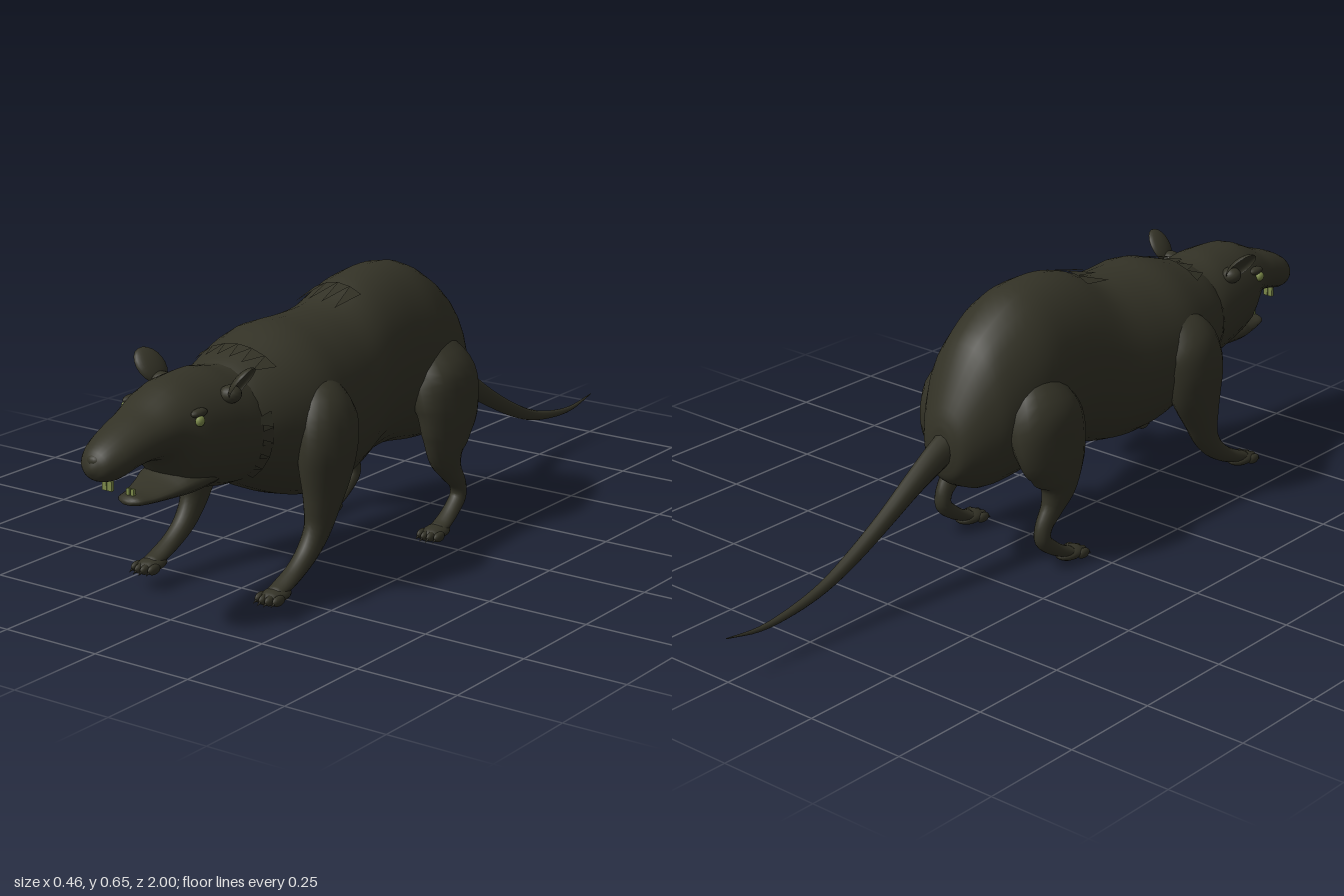
import * as THREE from 'three';

const mat = (name, color, side = THREE.FrontSide) => {
  const m = new THREE.MeshStandardMaterial({ color, side });
  m.name = name;
  return m;
};

// Smooth skin over elliptical rings; each row is [x, y, z, sideRadius, otherRadius].
// With tilt the rings follow the path, otherwise they stay upright.
function loft(rows, tilt = true, sides = 20, steps = 4) {
  const curve = (f) => new THREE.CatmullRomCurve3(rows.map(f), false, 'catmullrom', 0.5);
  const path = curve((r) => new THREE.Vector3(r[0], r[1], r[2]));
  const size = curve((r) => new THREE.Vector3(r[3], r[4], 0));
  const n = (rows.length - 1) * steps;
  const pos = [], idx = [];
  for (let i = 0; i <= n; i++) {
    const c = path.getPoint(i / n), s = size.getPoint(i / n);
    const t = tilt ? path.getTangent(i / n) : new THREE.Vector3(0, 0, 1);
    const u = new THREE.Vector3(1, 0, 0).addScaledVector(t, -t.x).normalize();
    const v = new THREE.Vector3().crossVectors(t, u);
    for (let j = 0; j < sides; j++) {
      const a = (j / sides) * Math.PI * 2;
      const p = c.clone().addScaledVector(u, Math.cos(a) * Math.max(s.x, 0.001))
        .addScaledVector(v, Math.sin(a) * Math.max(s.y, 0.001));
      pos.push(p.x, p.y, p.z);
      if (i < n) {
        const k = (j + 1) % sides, A = i * sides + j, B = i * sides + k;
        idx.push(A, B, A + sides, B, B + sides, A + sides);
      }
    }
  }
  // end caps
  const first = pos.length / 3, p0 = path.getPoint(0), p1 = path.getPoint(1);
  pos.push(p0.x, p0.y, p0.z, p1.x, p1.y, p1.z);
  for (let j = 0; j < sides; j++) {
    const k = (j + 1) % sides;
    idx.push(first, k, j, first + 1, n * sides + j, n * sides + k);
  }
  const g = new THREE.BufferGeometry();
  g.setAttribute('position', new THREE.Float32BufferAttribute(pos, 3));
  g.setIndex(idx);
  g.computeVertexNormals();
  return g;
}

// profile rows [z, top, bottom, halfWidth] to loft rows
const profile = (rows) => rows.map(([z, t, b, w]) => [0, (t + b) / 2, z, w, (t - b) / 2]);

const bodyRows = profile([
  [-0.315, 0.37, 0.28, 0.03], [-0.3, 0.42, 0.24, 0.065], [-0.25, 0.52, 0.21, 0.105], [-0.2, 0.58, 0.197, 0.13],
  [-0.1, 0.64, 0.205, 0.15], [0, 0.655, 0.22, 0.147], [0.1, 0.642, 0.215, 0.15], [0.2, 0.602, 0.185, 0.165],
  [0.3, 0.595, 0.177, 0.18], [0.4, 0.595, 0.2, 0.187], [0.5, 0.565, 0.24, 0.165], [0.57, 0.54, 0.275, 0.135],
  [0.62, 0.51, 0.31, 0.1],
]);

// point just above the body skin at depth z and angle a
function onBody(z, a, lift) {
  let i = 0;
  while (i < bodyRows.length - 2 && bodyRows[i + 1][2] < z) i++;
  const p = bodyRows[i], q = bodyRows[i + 1], f = (z - p[2]) / (q[2] - p[2]);
  const m = (k) => p[k] + (q[k] - p[k]) * f;
  return [Math.cos(a) * (m(3) + lift), m(1) + Math.sin(a) * (m(4) + lift), z];
}

// row of pointed fur tufts lying over the skin
function furTufts(z, tip, from, to, count) {
  const pos = [], d = (to - from) / count;
  for (let i = 0; i < count; i++) {
    const a = from + i * d;
    pos.push(...onBody(z, a, 0.004), ...onBody(z, a + d, 0.004), ...onBody(tip, a + d / 2, 0.01));
  }
  const g = new THREE.BufferGeometry();
  g.setAttribute('position', new THREE.Float32BufferAttribute(pos, 3));
  g.computeVertexNormals();
  return g;
}

export function createModel() {
  const fur = mat('darkFur', 0x333226);
  const furThin = mat('thinFur', 0x333226, THREE.DoubleSide);
  const pale = mat('paleGreen', 0x7c8a4a);
  const model = new THREE.Group();
  const add = (parent, name, geo, m, p = [0, 0, 0], s = [1, 1, 1], r = [0, 0, 0]) => {
    const mesh = new THREE.Mesh(geo, m);
    mesh.name = name;
    mesh.position.set(...p);
    mesh.scale.set(...s);
    mesh.rotation.set(...r);
    parent.add(mesh);
    return mesh;
  };
  const ball = new THREE.SphereGeometry(1, 16, 12);

  // torso, head and lower jaw
  add(model, 'body', loft(bodyRows, false, 28), fur);
  add(model, 'head', loft(profile([
    [0.5, 0.54, 0.27, 0.11], [0.58, 0.54, 0.272, 0.13], [0.64, 0.55, 0.28, 0.125], [0.7, 0.55, 0.295, 0.117],
    [0.745, 0.546, 0.31, 0.11], [0.775, 0.538, 0.345, 0.099], [0.805, 0.525, 0.378, 0.088], [0.85, 0.504, 0.388, 0.076],
    [0.9, 0.487, 0.383, 0.067], [0.95, 0.466, 0.372, 0.057], [0.985, 0.443, 0.38, 0.037], [1, 0.415, 0.4, 0.008],
  ]), false, 24), fur);
  add(model, 'lowerJaw', loft(profile([
    [0.66, 0.36, 0.295, 0.08], [0.74, 0.355, 0.29, 0.078], [0.79, 0.335, 0.292, 0.062],
    [0.84, 0.322, 0.294, 0.045], [0.875, 0.32, 0.297, 0.033], [0.89, 0.312, 0.302, 0.012],
  ]), false), fur);
  add(model, 'nose', ball, fur, [0, 0.424, 0.982], [0.02, 0.014, 0.016]);

  // tail
  add(model, 'tail', loft([
    [0, 0.335, -0.27, 0.036, 0.04], [0, 0.31, -0.33, 0.028, 0.036], [0, 0.268, -0.41, 0.024, 0.028],
    [0, 0.215, -0.5, 0.02, 0.022], [0, 0.162, -0.6, 0.017, 0.018], [0, 0.12, -0.7, 0.013, 0.014],
    [0, 0.098, -0.8, 0.01, 0.01], [0, 0.091, -0.9, 0.006, 0.006], [0, 0.106, -1, 0.001, 0.001],
  ], true, 12), fur);

  // fur tufts on neck, cheeks and back
  add(model, 'neckFur', furTufts(0.5, 0.555, 0.9, 2.24, 6), furThin);
  add(model, 'rightCheekFur', furTufts(0.56, 0.61, 2.8, 4.1, 5), furThin);
  add(model, 'leftCheekFur', furTufts(0.56, 0.61, -0.96, 0.34, 5), furThin);
  add(model, 'backFur', furTufts(0.13, 0.22, 1.15, 1.99, 4), furThin);

  const frontLegGeo = loft([
    [0.12, 0.47, 0.36, 0.035, 0.05], [0.155, 0.42, 0.39, 0.06, 0.08], [0.172, 0.36, 0.405, 0.057, 0.088],
    [0.174, 0.29, 0.415, 0.048, 0.08], [0.176, 0.22, 0.432, 0.036, 0.055], [0.176, 0.165, 0.45, 0.028, 0.037],
    [0.175, 0.12, 0.485, 0.025, 0.026], [0.175, 0.088, 0.53, 0.023, 0.02], [0.175, 0.068, 0.575, 0.024, 0.016],
    [0.175, 0.058, 0.61, 0.022, 0.012],
  ], true, 18);
  const hindLegGeo = loft([
    [0.09, 0.45, -0.1, 0.05, 0.07], [0.125, 0.38, -0.105, 0.073, 0.105], [0.147, 0.31, -0.1, 0.056, 0.108],
    [0.155, 0.25, -0.088, 0.043, 0.086], [0.156, 0.2, -0.085, 0.033, 0.058], [0.155, 0.155, -0.105, 0.024, 0.033],
    [0.155, 0.115, -0.135, 0.02, 0.022], [0.155, 0.08, -0.138, 0.02, 0.02], [0.156, 0.05, -0.105, 0.021, 0.017],
    [0.157, 0.03, -0.07, 0.023, 0.014], [0.157, 0.022, -0.045, 0.023, 0.012],
  ], true, 18);
  const earGeo = new THREE.SphereGeometry(1, 20, 8, 0, Math.PI * 2, 0, Math.PI / 2).rotateZ(Math.PI / 2);
  const clawGeo = new THREE.ConeGeometry(0.004, 0.016, 6).rotateX(Math.PI / 2 + 0.4);
  const toothGeo = new THREE.BoxGeometry(0.012, 0.026, 0.008);

  // paw pad with four clawed toes
  const paw = (parent, name, x, y, z) => {
    const g = new THREE.Group();
    g.name = name;
    g.position.set(x, y, z);
    add(g, 'pad', ball, fur, [0, 0, 0], [0.029, 0.016, 0.04]);
    for (let i = 0; i < 4; i++) {
      const tx = (i - 1.5) * 0.016, tz = 0.034 - Math.abs(i - 1.5) * 0.007;
      add(g, 'toe', ball, fur, [tx, -0.004, tz], [0.009, 0.012, 0.02]);
      add(g, 'claw', clawGeo, fur, [tx, -0.009, tz + 0.022]);
    }
    parent.add(g);
  };

  // paired parts, mirrored across the middle
  for (const s of [1, -1]) {
    const side = new THREE.Group();
    side.name = s > 0 ? 'leftSide' : 'rightSide';
    side.scale.x = s;
    add(side, 'frontLeg', frontLegGeo, fur);
    paw(side, 'frontPaw', 0.175, 0.054, 0.6);
    add(side, 'hindLeg', hindLegGeo, fur);
    paw(side, 'hindPaw', 0.157, 0.018, -0.045);
    add(side, 'ear', earGeo, furThin, [0.127, 0.533, 0.648], [0.018, 0.046, 0.038], [0.25, 0, -0.67]);
    add(side, 'earBase', ball, fur, [0.095, 0.505, 0.65], [0.025, 0.02, 0.025]);
    add(side, 'brow', ball, fur, [0.094, 0.488, 0.755], [0.012, 0.01, 0.024]);
    add(side, 'eye', ball, pale, [0.102, 0.473, 0.762], [0.009, 0.012, 0.012]);
    add(side, 'upperTooth', toothGeo, pale, [0.007, 0.362, 0.945]);
    add(side, 'lowerTooth', toothGeo, pale, [0.006, 0.322, 0.872], [0.7, 0.9, 0.9]);
    model.add(side);
  }
  return model;
}
